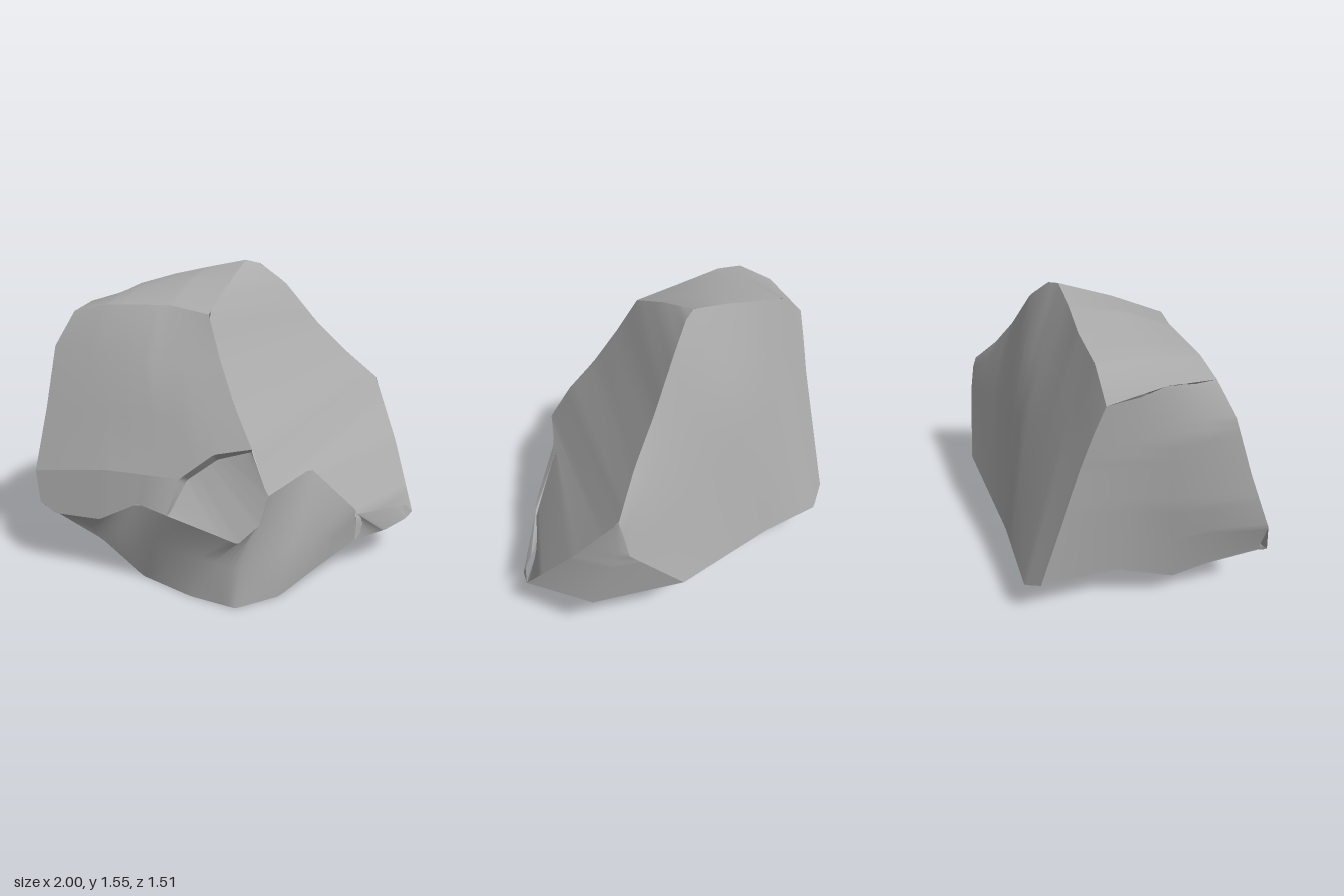
import * as THREE from 'three';

const STEPS = 48;
const CENTRE = new THREE.Vector3(0, 0.6, 0);

// Evenly resample a polyline of [x, y, z] corners
function resample(line) {
  const pts = line.map((p) => new THREE.Vector3(...p));
  const path = new THREE.CurvePath();
  for (let i = 1; i < pts.length; i++) path.add(new THREE.LineCurve3(pts[i - 1], pts[i]));
  return Array.from({ length: STEPS + 1 }, (_, i) => path.getPoint(i / STEPS));
}

// Smooth sheet stretched across a series of polylines, facing outwards
function sheet(name, lines, material) {
  const rows = lines.map(resample);
  const pts = rows.flat();
  const w = STEPS + 1;
  const index = [];
  const total = new THREE.Vector3(), mean = new THREE.Vector3();
  const ab = new THREE.Vector3(), ac = new THREE.Vector3();
  const tri = (a, b, c) => {
    index.push(a, b, c);
    ab.subVectors(pts[b], pts[a]);
    ac.subVectors(pts[c], pts[a]);
    total.add(ab.cross(ac));
  };
  for (let r = 0; r < rows.length - 1; r++) {
    for (let i = 0; i < STEPS; i++) {
      const a = r * w + i;
      tri(a, a + w, a + 1);
      tri(a + 1, a + w, a + w + 1);
    }
  }
  pts.forEach((p) => mean.add(p));
  mean.divideScalar(pts.length).sub(CENTRE);
  if (total.dot(mean) < 0) index.reverse();
  const geometry = new THREE.BufferGeometry().setFromPoints(pts);
  geometry.setIndex(index);
  geometry.computeVertexNormals();
  const mesh = new THREE.Mesh(geometry, material);
  mesh.name = name;
  return mesh;
}

export function createModel() {
  const stone = new THREE.MeshStandardMaterial({ color: 0xaaaaaa, side: THREE.DoubleSide });
  stone.name = 'grey stone';
  const rock = new THREE.Group();
  rock.name = 'rock';
  const add = (name, ...lines) => rock.add(sheet(name, lines, stone));

  // Shared creases
  const peak = [0.1, 1.55, -0.23];
  const ridgeLeft = [[-0.63, 1.27, -0.43], [-0.48, 1.4, -0.39], [-0.28, 1.46, -0.35], [-0.08, 1.51, -0.28], peak];
  const ridgeRight = [peak, [0.18, 1.53, -0.24], [0.32, 1.42, -0.27], [0.5, 1.2, -0.29],
    [0.68, 1.02, -0.31], [0.87, 0.85, -0.36]];
  const topFront = [[-0.79, 1.33, 0.05], [-0.62, 1.37, 0.09], [-0.3, 1.38, 0.16], [-0.1, 1.35, 0.26]];
  const topRight = [0, 1.46, 0.02];
  const rim = [[-0.31, 0.43, 0.6], [-0.25, 0.6, 0.55], [-0.08, 0.73, 0.56], [0.1, 0.77, 0.6]];
  const innerRim = [[-0.3, 0.43, 0.58], [-0.21, 0.58, 0.51], [-0.06, 0.69, 0.52], [0.1, 0.75, 0.58]];
  const wallFoot = [[-0.98, 0.38, 0.3], [-0.9, 0.33, 0.34], [-0.66, 0.34, 0.44], [-0.46, 0.45, 0.5], [-0.31, 0.43, 0.6]];
  const ledge = [[-0.31, 0.43, 0.6], [0.03, 0.35, 0.75], [0.13, 0.44, 0.74], [0.17, 0.57, 0.7]];
  const cleftEdge = [[0.87, 0.85, -0.36], [0.95, 0.55, -0.12], [1, 0.24, 0.16]];
  const backSide = [[0.87, 0.85, -0.36], [0.86, 0.66, -0.41], [0.62, 0.36, -0.55]];

  // Sloping crown
  add('top', ridgeLeft,
    [[-0.73, 1.34, -0.18], [-0.48, 1.42, -0.12], [-0.2, 1.47, -0.06], topRight],
    topFront);

  // Left-hand front wall, broken away at its lower corner
  add('frontWall', topFront,
    [[-0.89, 1.16, 0.1], [-0.4, 1.12, 0.31], [-0.05, 1.16, 0.36]],
    [[-0.94, 0.85, 0.18], [-0.5, 0.85, 0.36], [-0.2, 0.89, 0.45], [0.02, 0.95, 0.48]],
    [[-1, 0.54, 0.27], [-0.62, 0.6, 0.42], ...rim.slice(1)]);
  add('frontWallBase',
    [[-1, 0.54, 0.27], [-0.62, 0.6, 0.42], rim[1]],
    wallFoot);

  // Sunken chip in the front
  add('chipRim', rim, innerRim);
  add('chipFace', innerRim, [...ledge, [0.1, 0.76, 0.59]]);

  // Broad flat cleft face
  add('cleftFace',
    [peak, topRight, [-0.1, 1.35, 0.26], [-0.05, 1.16, 0.36], [0.02, 0.95, 0.48],
      [0.1, 0.77, 0.6], [0.17, 0.57, 0.7], [0.4, 0.58, 0.46], [0.65, 0.32, 0.41], [0.65, 0.18, 0.38]],
    [...ridgeRight, ...cleftEdge.slice(1)]);
  add('cleftBase',
    [[0.4, 0.58, 0.46], [0.65, 0.34, 0.41], [0.95, 0.3, 0.21], [1, 0.24, 0.16]],
    [[0.65, 0.18, 0.38], [0.83, 0.2, 0.3], [0.95, 0.23, 0.23], [1, 0.24, 0.16]]);

  // Facet between the cleft face and the back
  add('sideFacet', cleftEdge,
    [[0.87, 0.85, -0.36], [0.91, 0.6, -0.35], [0.96, 0.33, -0.25]],
    backSide);

  // Foot that carries the rock
  add('foot',
    [...wallFoot, ...ledge.slice(1), [0.4, 0.62, 0.47], [0.64, 0.37, 0.42], [0.65, 0.18, 0.38]],
    [[-0.95, 0.35, 0.3], [-0.64, 0.25, 0.4], [-0.3, 0.22, 0.54], [0.03, 0.2, 0.73], [0.3, 0.26, 0.61],
      [0.5, 0.26, 0.48], [0.65, 0.18, 0.38]],
    [[-0.92, 0.33, 0.3], [-0.66, 0.2, 0.38], [-0.45, 0, 0.41], [-0.2, 0, 0.62], [0.02, 0, 0.74],
      [0.24, 0, 0.63], [0.45, 0.09, 0.49], [0.65, 0.18, 0.38]]);

  // Left-hand end wall, slightly hollowed, with a ragged lower edge
  add('endWall',
    [[-0.79, 1.33, 0.05], [-0.89, 1.16, 0.1], [-0.94, 0.85, 0.18], [-1, 0.54, 0.27], [-0.92, 0.33, 0.3]],
    [[-0.77, 1.33, -0.05], [-0.85, 1.1, -0.02], [-0.87, 0.7, 0.02], [-0.82, 0.29, 0.05]],
    [[-0.73, 1.34, -0.18], [-0.77, 1.05, -0.16], [-0.76, 0.7, -0.14], [-0.71, 0.19, -0.08]],
    [[-0.69, 1.3, -0.29], [-0.69, 0.98, -0.31], [-0.66, 0.7, -0.33], [-0.6, 0.28, -0.35]],
    [[-0.63, 1.27, -0.43], [-0.6, 1.12, -0.48], [-0.57, 0.95, -0.53], [-0.5, 0.29, -0.73]]);

  // Back wall
  add('backWall', [...ridgeLeft, ...ridgeRight.slice(1)],
    [[-0.6, 1.12, -0.48], [-0.25, 1.23, -0.43], [0.2, 1.22, -0.38], [0.5, 1.04, -0.36], [0.87, 0.8, -0.38]],
    [[-0.57, 0.95, -0.53], [0, 0.92, -0.51], [0.4, 0.8, -0.46], [0.86, 0.66, -0.41]],
    [[-0.5, 0.29, -0.73], [-0.38, 0.22, -0.76], [0, 0.28, -0.66], [0.62, 0.36, -0.55]]);

  // Narrow lip turned in under the side facet
  add('underside',
    [[0.56, 0.35, -0.56], [0.62, 0.36, -0.55], [0.96, 0.33, -0.25], [1, 0.24, 0.16]],
    [[0.53, 0.31, -0.42], [0.58, 0.28, -0.23], [0.75, 0.32, -0.18], [0.9, 0.28, 0.08]]);
  return rock;
}
